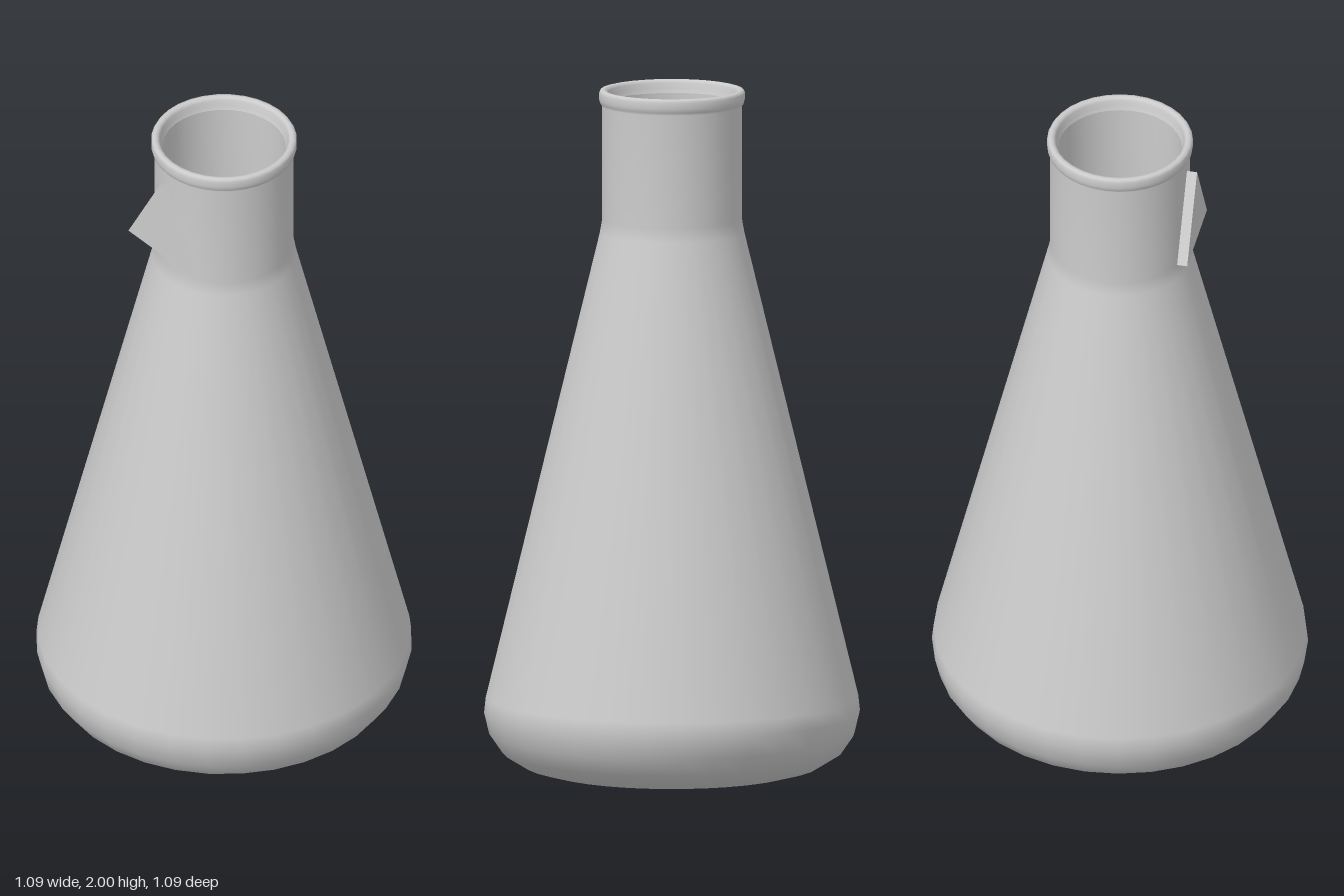
import * as THREE from 'three';

const SEGMENTS = 32;

export function createModel() {
  const model = new THREE.Group();
  model.name = 'flask';
  const glass = new THREE.MeshStandardMaterial({ color: 0xcccccc });
  const faceted = new THREE.MeshStandardMaterial({ color: 0xcccccc, flatShading: true });

  const lathe = (name, profile) => {
    const points = profile.map(([r, y]) => new THREE.Vector2(r, y));
    const mesh = new THREE.Mesh(new THREE.LatheGeometry(points, SEGMENTS), glass);
    mesh.name = name;
    model.add(mesh);
  };

  // Outer wall: flat base, rounded heel, cone, neck and rolled lip
  lathe('outerWall', [
    [0, 0], [0.355, 0], [0.365, 0.001], [0.43, 0.018], [0.493, 0.057],
    [0.531, 0.112], [0.546, 0.175], [0.541, 0.22],
    [0.21, 1.58], [0.203, 1.62], [0.203, 1.952],
    [0.209, 1.96], [0.212, 1.972], [0.212, 1.99], [0.208, 1.998], [0.2, 2],
    [0.192, 1.998], [0.187, 1.99], [0.185, 1.975], [0.18, 1.962],
  ]);

  // Inner wall: follows the outside at a small thickness, down to the floor
  lathe('innerWall', [
    [0.18, 1.962], [0.18, 1.61], [0.187, 1.57],
    [0.519, 0.22], [0.524, 0.175], [0.51, 0.12], [0.476, 0.074],
    [0.42, 0.038], [0.36, 0.021], [0.35, 0.02], [0, 0.02],
  ]);

  // Triangular plate on the front of the neck
  const plate = new THREE.Mesh(new THREE.CylinderGeometry(0.16, 0.16, 0.03, 3), faceted);
  plate.name = 'triangularPlate';
  plate.rotation.x = -Math.PI / 2;
  plate.position.set(-0.016, 1.76, 0.217);
  model.add(plate);

  return model;
}
